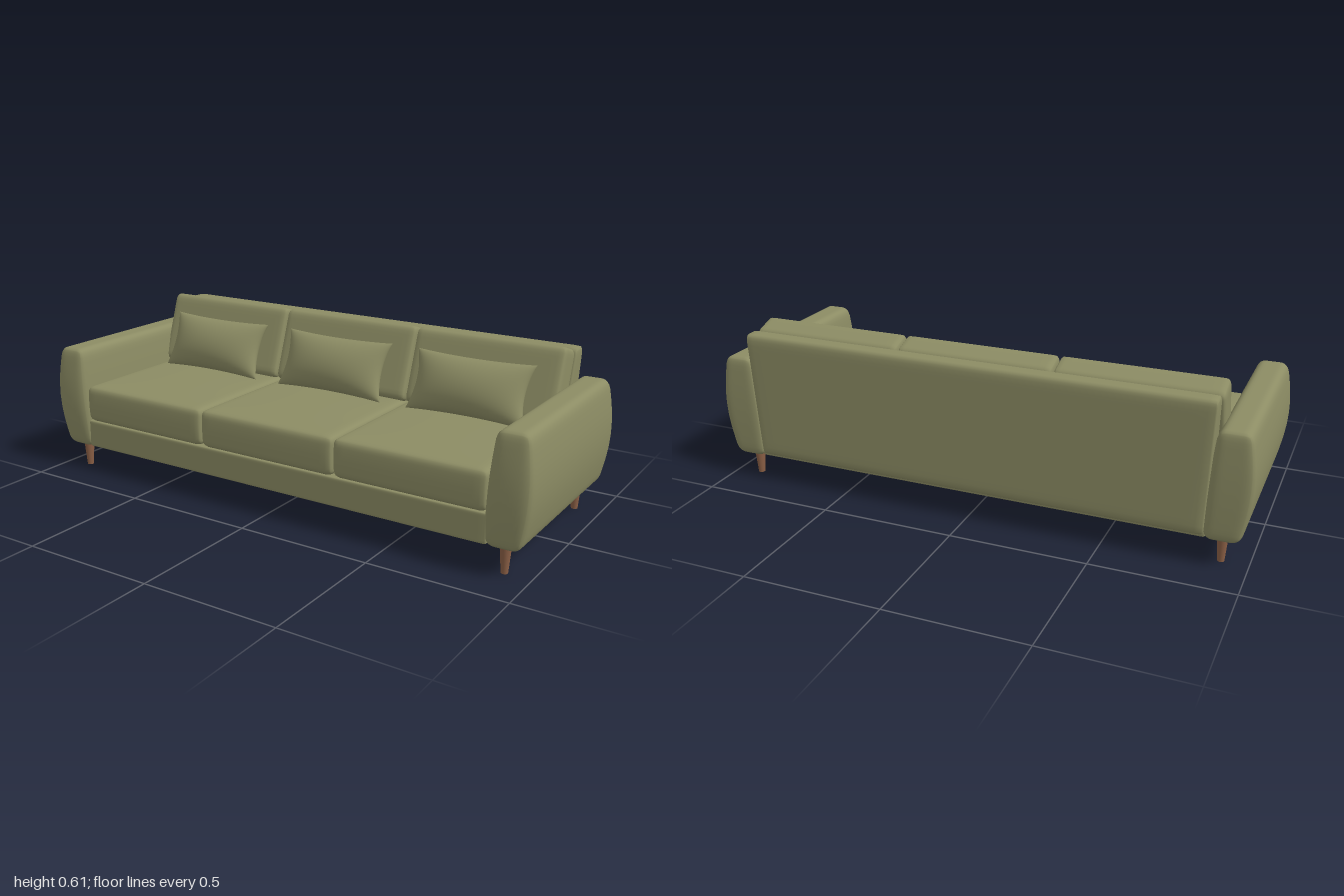
import * as THREE from 'three';
import { mergeVertices, mergeGeometries } from 'three/addons/utils/BufferGeometryUtils.js';

// Weld a geometry and give it smooth normals
function smooth(geo) {
  geo.deleteAttribute('uv');
  geo.deleteAttribute('normal');
  const g = mergeVertices(geo, 1e-5);
  g.computeVertexNormals();
  return g;
}

// Box with elliptical rounded edges (radii per axis), then bent by an optional rule
function softBox(size, radii, warp) {
  const geo = new THREE.BoxGeometry(2, 2, 2, 18, 18, 18);
  const pos = geo.attributes.position;
  const p = new THREE.Vector3();
  const axes = ['x', 'y', 'z'];
  for (let i = 0; i < pos.count; i++) {
    p.fromBufferAttribute(pos, i);
    const core = new THREE.Vector3(), d = new THREE.Vector3();
    axes.forEach((a, k) => {
      // crowd the rows towards the edges so the rounding is fine
      const t = Math.sign(p[a]) * (1 - (1 - Math.abs(p[a])) ** 2.2);
      const half = size[k] / 2, inner = half - radii[k];
      core[a] = THREE.MathUtils.clamp(t * half, -inner, inner);
      d[a] = (t * half - core[a]) / radii[k];
    });
    d.normalize();
    axes.forEach((a, k) => { p[a] = core[a] + d[a] * radii[k]; });
    if (warp) warp(p);
    pos.setXYZ(i, p.x, p.y, p.z);
  }
  return smooth(geo);
}

// Throw pillow: two puffed sheets meeting at an edge with pulled-out corners
function pillowGeometry(halfW, halfH, halfT) {
  const sheets = [1, -1].map((side) => {
    const geo = new THREE.PlaneGeometry(2, 2, 32, 24);
    const pos = geo.attributes.position;
    for (let i = 0; i < pos.count; i++) {
      const u = Math.sin(pos.getX(i) * Math.PI / 2), v = Math.sin(pos.getY(i) * Math.PI / 2);
      const puff = Math.max(0, (1 - u * u) * (1 - v * v)) ** 0.5;
      pos.setXYZ(i,
        side * u * halfW * (1 - 0.1 * (1 - v * v)),
        v * halfH * (1 - 0.08 * (1 - u * u)),
        side * halfT * puff);
    }
    return geo;
  });
  return smooth(mergeGeometries(sheets));
}

export function createModel() {
  const model = new THREE.Group();
  model.name = 'sofa';
  const fabric = new THREE.MeshStandardMaterial({ color: 0x8c8c64 });
  fabric.name = 'olive fabric';
  const wood = new THREE.MeshStandardMaterial({ color: 0x8a5f45 });
  wood.name = 'brown wood';

  const add = (name, geo, mat, x, y, z, tilt = 0) => {
    const mesh = new THREE.Mesh(geo, mat);
    mesh.name = name;
    mesh.position.set(x, y, z);
    mesh.rotation.x = tilt;
    model.add(mesh);
    return mesh;
  };

  // Base rail under the seat
  add('base', softBox([1.71, 0.108, 0.72], [0.008, 0.008, 0.008]), fabric, 0, 0.152, 0.003);

  // Backrest, leaning and thinning towards the top
  const back = softBox([2, 0.49, 2], [0.012, 0.03, 0.5], (p) => {
    const t = (p.y + 0.245) / 0.49;
    const front = -0.23 - 0.082 * t, rear = -0.369 - 0.016 * t;
    p.x *= 0.85 + 0.02 * t;
    p.z = (front + rear) / 2 + p.z * (front - rear) / 2;
  });
  add('backrest', back, fabric, 0, 0.345, 0);

  // Arms with a bulging outer side and front
  const armHeight = 0.393;
  for (const side of [1, -1]) {
    const arm = softBox([2, armHeight, 0.732], [0.5, 0.032, 0.016], (p) => {
      const t = p.y / armHeight + 0.5;
      const bulge = Math.sin(Math.PI * t);
      const outer = 0.968 + 0.012 * t + 0.027 * bulge;
      const inner = 0.846 + 0.026 * t * t;
      const u = p.x * side;
      p.z += p.z > 0 ? 0.019 * bulge * (1 - 0.4 * u * u) * p.z / 0.366 : 0.006 * bulge * p.z / 0.366;
      p.x = side * ((outer + inner) / 2 + u * (outer - inner) / 2);
    });
    add(side > 0 ? 'leftArm' : 'rightArm', arm, fabric, 0, 0.095 + armHeight / 2, 0);
  }

  // Three seat cushions, back cushions and pillows
  const seat = softBox([0.566, 0.142, 0.61], [0.025, 0.024, 0.02], (p) => {
    const crown = (1 - (p.x / 0.283) ** 2) * (1 - (p.z / 0.305) ** 2);
    if (p.y > 0) p.y += 0.006 * crown;
    if (p.z > 0) p.z += 0.006 * (1 - (p.y / 0.08) ** 2);
  });
  const backCushion = softBox([0.579, 0.285, 0.12], [0.016, 0.028, 0.028], (p) => {
    p.z *= 1 - 0.1 * (p.y / 0.285 + 0.5);
  });
  const pillow = pillowGeometry(0.23, 0.112, 0.068);
  for (const i of [-1, 0, 1]) {
    add('seatCushion', seat, fabric, i * 0.568, 0.276, 0.06);
    add('backCushion', backCushion, fabric, i * 0.583 - 0.005, 0.467, -0.222, -0.32);
    add('pillow', pillow, fabric, i * 0.568 - 0.007, 0.453, -0.105, -0.42);
  }

  // Tapered round legs
  const leg = new THREE.CylinderGeometry(0.02, 0.012, 0.1, 24);
  for (const x of [-0.905, 0.905]) {
    for (const z of [0.32, -0.308]) add('leg', leg, wood, x, 0.05, z);
  }
  return model;
}
